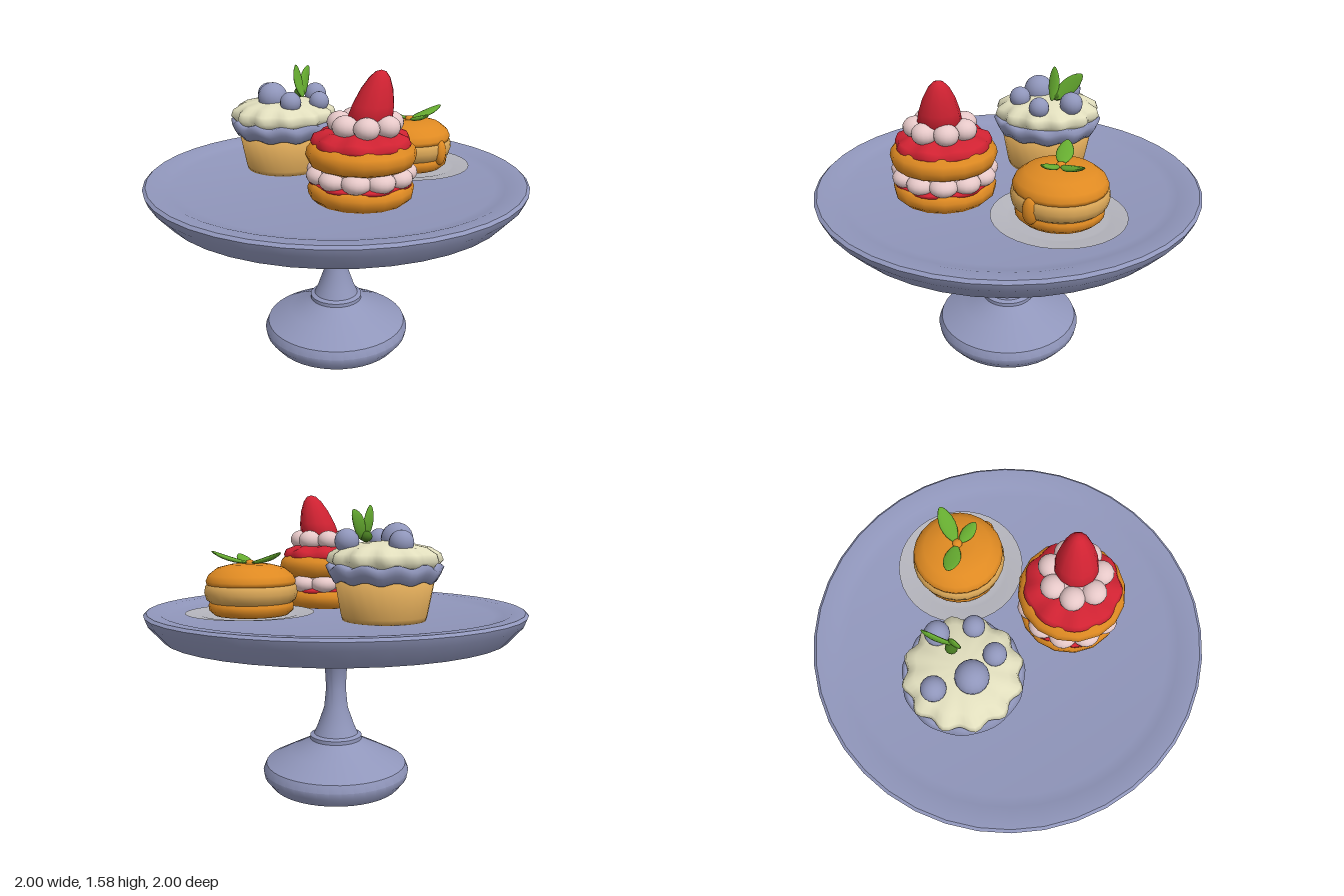
import * as THREE from 'three';
import { mergeVertices, toCreasedNormals } from 'three/addons/utils/BufferGeometryUtils.js';

const mat = (name, color, side = THREE.FrontSide) => {
  const m = new THREE.MeshStandardMaterial({ color, side });
  m.name = name;
  return m;
};

export function createModel() {
  const lavender = mat('lavender', 0x9096bb);
  const orange = mat('orange glaze', 0xdf8a22);
  const tan = mat('tan pastry', 0xd8a556);
  const cream = mat('vanilla cream', 0xe2dfbe);
  const pink = mat('pink cream', 0xe6c8c8);
  const red = mat('strawberry red', 0xd02232);
  const green = mat('leaf green', 0x66ac30);
  const darkGreen = mat('stem green', 0x44751f);
  const grey = mat('saucer grey', 0xb4b4bc, THREE.DoubleSide);

  const model = new THREE.Group();
  model.name = 'cakeStandWithPastries';

  const group = (name, x, z) => {
    const g = new THREE.Group();
    g.name = name;
    g.position.set(x, 0, z);
    model.add(g);
    return g;
  };
  const add = (parent, name, geometry, material) => {
    const m = new THREE.Mesh(geometry, material);
    m.name = name;
    parent.add(m);
    return m;
  };
  const lathe = (pts, seg = 24) =>
    new THREE.LatheGeometry(pts.map(([r, y]) => new THREE.Vector2(r, y)), seg);
  // Weld a geometry, move its vertices by a rule and smooth it again
  const reshape = (geo, rule) => {
    geo.deleteAttribute('uv');
    geo.deleteAttribute('normal');
    const g = mergeVertices(geo, 1e-4);
    const p = g.attributes.position, v = new THREE.Vector3();
    for (let i = 0; i < p.count; i++) {
      v.fromBufferAttribute(p, i);
      rule(v);
      p.setXYZ(i, v.x, v.y, v.z);
    }
    g.computeVertexNormals();
    return g;
  };
  // Scalloped lathe: n lobes, deepest at the widest radius
  const scalloped = (pts, n, depth, rMax, dip = 0) =>
    reshape(lathe(pts, n * 6), (v) => {
      const r = Math.hypot(v.x, v.z), w = Math.pow(r / rMax, 2);
      const c = Math.cos(n * Math.atan2(v.z, v.x)) * w;
      const k = 1 + depth * c;
      v.x *= k;
      v.z *= k;
      v.y += dip * c;
    });
  const ball = (parent, name, r, x, y, z, material, sx = 1, sy = 1, sz = 1) => {
    const m = add(parent, name, new THREE.SphereGeometry(r, 16, 12), material);
    m.position.set(x, y, z);
    m.scale.set(sx, sy, sz);
    return m;
  };
  // Almond leaf from base to tip; "face" is the way its flat side looks
  const leaf = (parent, base, tip, width, face, material = green) => {
    const a = new THREE.Vector3(...base), b = new THREE.Vector3(...tip);
    const dir = b.clone().sub(a), len = dir.length();
    dir.normalize();
    const side = new THREE.Vector3().crossVectors(dir, new THREE.Vector3(...face)).normalize();
    const normal = new THREE.Vector3().crossVectors(side, dir);
    const geo = reshape(new THREE.SphereGeometry(1, 12, 10), (v) => {
      v.x *= (width / 2) * (1 - 0.25 * v.y * v.y);
      v.z = v.z * 0.012 + 0.1 * len * (v.y * v.y - 0.5) * 0.5;
      v.y *= len / 2;
    });
    const m = add(parent, 'leaf', geo, material);
    m.quaternion.setFromRotationMatrix(new THREE.Matrix4().makeBasis(side, dir, normal));
    m.position.copy(a.add(b).multiplyScalar(0.5));
  };

  // Pedestal stand with a shallow raised rim
  add(model, 'cakeStand', toCreasedNormals(lathe([
    [0, 0], [0.355, 0], [0.395, 0.05], [0.402, 0.085], [0.385, 0.125], [0.26, 0.19],
    [0.16, 0.24], [0.142, 0.255], [0.142, 0.275], [0.12, 0.285], [0.1, 0.33], [0.065, 0.43],
    [0.054, 0.54], [0.06, 0.65], [0.09, 0.71], [0.14, 0.78], [0.22, 0.825], [0.32, 0.845],
    [0.91, 0.845], [0.985, 0.93], [1.0, 0.97], [0.985, 0.983], [0.92, 0.98],
    [0.88, 0.965], [0.83, 0.955], [0, 0.955],
  ], 40), 0.6), lavender);

  // Cupcake
  const cup = group('cupcake', -0.35, -0.11);
  add(cup, 'cupcakeWrapper', lathe([[0, 0.955], [0.208, 0.956], [0.215, 0.98], [0.25, 1.17], [0, 1.18]], 28), tan);
  add(cup, 'blueFrosting', scalloped([
    [0.2, 1.16], [0.255, 1.15], [0.275, 1.185], [0.288, 1.215], [0.27, 1.23], [0, 1.235],
  ], 11, 0.012, 0.28, 0.01), lavender);
  add(cup, 'creamFrosting', scalloped([
    [0.2, 1.215], [0.25, 1.222], [0.273, 1.25], [0.262, 1.285], [0.215, 1.315], [0.12, 1.335], [0, 1.345],
  ], 12, 0.055, 0.27), cream);
  const berries = [
    [-0.035, 1.352, 0.06, 0.08], [-0.135, 1.34, -0.09, 0.06], [0.12, 1.345, -0.16, 0.06],
    [0.205, 1.335, -0.01, 0.053], [0.1, 1.345, 0.125, 0.056],
  ];
  for (const [x, y, z, r] of berries) ball(cup, 'blueberry', r, x, y, z, lavender);
  leaf(cup, [0.09, 1.34, -0.05], [0.05, 1.515, -0.05], 0.065, [1, 0.2, 0.3]);
  leaf(cup, [0.085, 1.35, -0.06], [0.06, 1.49, -0.2], 0.085, [1, 0.2, 0]);
  ball(cup, 'leafStem', 0.03, 0.065, 1.365, -0.07, darkGreen, 1, 0.9, 1);

  // Layered strawberry cake
  const cake = group('strawberryCake', 0.23, 0.26);
  add(cake, 'lowerSponge', lathe([
    [0, 0.955], [0.225, 0.957], [0.255, 0.985], [0.26, 1.02], [0.245, 1.05], [0.2, 1.065], [0, 1.07],
  ], 16), orange);
  add(cake, 'jamLayer', scalloped([[0.2, 1.035], [0.243, 1.045], [0.243, 1.06], [0.2, 1.075], [0, 1.08]], 7, 0.03, 0.24), red);
  add(cake, 'creamCore', new THREE.CylinderGeometry(0.22, 0.22, 0.09, 20).translate(0, 1.09, 0), pink);
  for (let i = 0; i < 11; i++) {
    const a = (i / 11) * Math.PI * 2 + 0.2;
    ball(cake, 'middleCreamDollop', 0.072, Math.cos(a) * 0.2, 1.092, Math.sin(a) * 0.2, pink, 1, 0.7, 1);
  }
  add(cake, 'upperSponge', lathe([
    [0, 1.12], [0.21, 1.12], [0.25, 1.14], [0.268, 1.18], [0.26, 1.215], [0.23, 1.245], [0, 1.26],
  ], 16), orange);
  add(cake, 'strawberryGlaze', scalloped([
    [0.2, 1.215], [0.23, 1.22], [0.238, 1.24], [0.225, 1.27], [0.17, 1.295], [0, 1.305],
  ], 9, 0.025, 0.24, 0.008), red);
  ball(cake, 'topCreamCore', 0.12, 0.02, 1.32, 0, pink, 1, 0.45, 1);
  for (let i = 0; i < 7; i++) {
    const a = (i / 7) * Math.PI * 2 + 0.3;
    ball(cake, 'topCreamDollop', 0.062, 0.02 + Math.cos(a) * 0.125, 1.33, Math.sin(a) * 0.125, pink, 1, 0.85, 1);
  }
  add(cake, 'strawberry', reshape(lathe([
    [0, 1.33], [0.09, 1.335], [0.108, 1.37], [0.1, 1.42], [0.078, 1.49], [0.05, 1.545], [0.025, 1.572], [0, 1.58],
  ], 12), (v) => {
    const t = (v.y - 1.33) / 0.25;
    v.x += 0.035 + 0.05 * t;
    v.z -= 0.025 * t;
  }), red);

  // Orange-glazed bun on a saucer
  const bun = group('glazedBun', 0.29, -0.355);
  const saucer = add(bun, 'saucer', lathe([[0, 0.962], [0.23, 0.962], [0.25, 0.968], [0.33, 0.976]], 36), grey);
  saucer.position.x = 0.01;
  add(bun, 'bunBase', lathe([
    [0, 0.965], [0.19, 0.967], [0.215, 0.99], [0.218, 1.02], [0.2, 1.05], [0, 1.055],
  ]), orange);
  add(bun, 'bunMiddle', lathe([
    [0, 1.02], [0.2, 1.022], [0.228, 1.045], [0.238, 1.08], [0.232, 1.115], [0.2, 1.14], [0, 1.14],
  ]), tan);
  add(bun, 'bunTop', lathe([
    [0.19, 1.115], [0.224, 1.12], [0.229, 1.14], [0.215, 1.17], [0.17, 1.205], [0.1, 1.222], [0.035, 1.225], [0, 1.215],
  ]), orange);
  ball(bun, 'glazeDrip', 0.04, 0.205, 1.075, 0.085, orange, 0.75, 1.7, 1);
  ball(bun, 'bunStem', 0.025, 0.005, 1.227, 0, orange, 1, 0.7, 1);
  leaf(bun, [0.01, 1.225, -0.01], [0.145, 1.285, -0.135], 0.085, [0, 1, 0]);
  leaf(bun, [-0.01, 1.225, 0], [-0.18, 1.28, 0.015], 0.085, [0, 1, 0]);
  leaf(bun, [0.015, 1.225, 0.01], [0.125, 1.265, 0.06], 0.07, [0, 1, 0]);

  return model;
}
